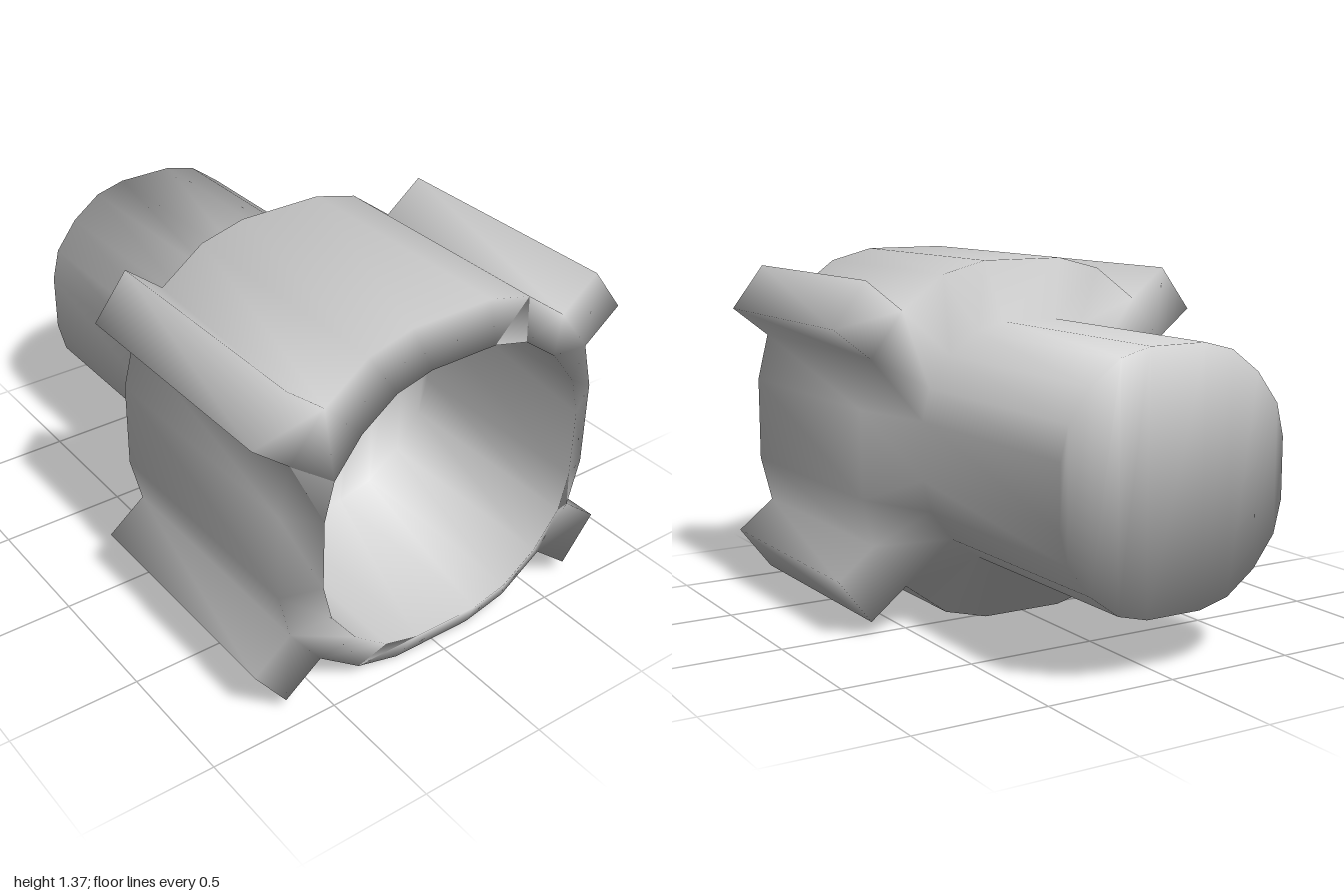
import * as THREE from 'three';

export function createModel() {
  const group = new THREE.Group();
  const cy = 0.69;

  // Rounded 20-sided outline: one quadrant, mirrored round counterclockwise
  const quad1 = [[0.685, 0.165], [0.64, 0.345], [0.51, 0.515], [0.34, 0.64], [0.165, 0.685]];
  const half = [...quad1, ...[...quad1].reverse().map(([x, y]) => [-x, y])];
  const outline = [...half, ...half.map(([x, y]) => [-x, -y])];
  const n = outline.length;

  // Cross-sections [scale, z] from the pipe end, over the rim, into the bore
  const rings = [[0.67, -1], [0.67, -0.08], [1, -0.03], [1, 0.93], [0.81, 1], [0.81, 0.2]];
  const positions = [];
  const addPoint = (x, y, z) => positions.push(x, y + cy, z) / 3 - 1;
  for (const [s, z] of rings) for (const [x, y] of outline) addPoint(x * s, y * s, z);

  const at = (ring, i) => ring * n + (i % n);
  const quad = (a, b, c, d) => [a, b, c, a, c, d];
  const finSlots = [1, 7, 11, 17];

  function band(ring, skip = []) {
    const faces = [];
    for (let i = 0; i < n; i++) {
      if (skip.includes(i)) continue;
      faces.push(...quad(at(ring, i), at(ring, i + 1), at(ring + 1, i + 1), at(ring + 1, i)));
    }
    return faces;
  }

  // Flat end across one ring, built as a strip of quads
  function cap(ring, facesFront) {
    const faces = [];
    for (let i = 0; i < n / 2 - 1; i++) {
      const q = [at(ring, i), at(ring, i + 1), at(ring, n - 2 - i), at(ring, n - 1 - i)];
      faces.push(...quad(...(facesFront ? q : q.reverse())));
    }
    return faces;
  }

  // Lug standing out of a gap in the shell
  function fin(slot) {
    const [x, y] = outline[slot];
    const dx = 0.145 * Math.sign(x), dy = 0.115 * Math.sign(y);
    const section = (ring) => {
      const tips = [slot, slot + 1].map((i) =>
        addPoint(outline[i][0] + dx, outline[i][1] + dy, rings[ring][1]));
      return [at(ring, slot), ...tips, at(ring, slot + 1)];
    };
    const back = section(2), front = section(3);
    const faces = [...quad(...front), ...quad(...[...back].reverse())];
    for (let k = 0; k < 3; k++) faces.push(...quad(back[k], back[k + 1], front[k + 1], front[k]));
    return faces;
  }

  const parts = {
    pipe: [...cap(0, false), ...band(0)],
    shoulder: band(1),
    socketShell: band(2, finSlots),
    rim: band(3),
    bore: [...band(4), ...cap(5, true)],
  };
  finSlots.forEach((slot, k) => {
    parts[['upperLeftFin', 'upperRightFin', 'lowerRightFin', 'lowerLeftFin'][k]] = fin(slot);
  });

  // Shared normals keep the shading smooth across all parts
  const whole = new THREE.BufferGeometry();
  whole.setAttribute('position', new THREE.Float32BufferAttribute(positions, 3));
  whole.setIndex(Object.values(parts).flat());
  whole.computeVertexNormals();

  const material = new THREE.MeshStandardMaterial({ color: 0xcccccc });
  for (const [name, faces] of Object.entries(parts)) {
    const geometry = new THREE.BufferGeometry();
    geometry.setAttribute('position', whole.getAttribute('position'));
    geometry.setAttribute('normal', whole.getAttribute('normal'));
    geometry.setIndex(faces);
    const mesh = new THREE.Mesh(geometry, material);
    mesh.name = name;
    group.add(mesh);
  }
  group.name = 'pipeSocket';
  return group;
}
